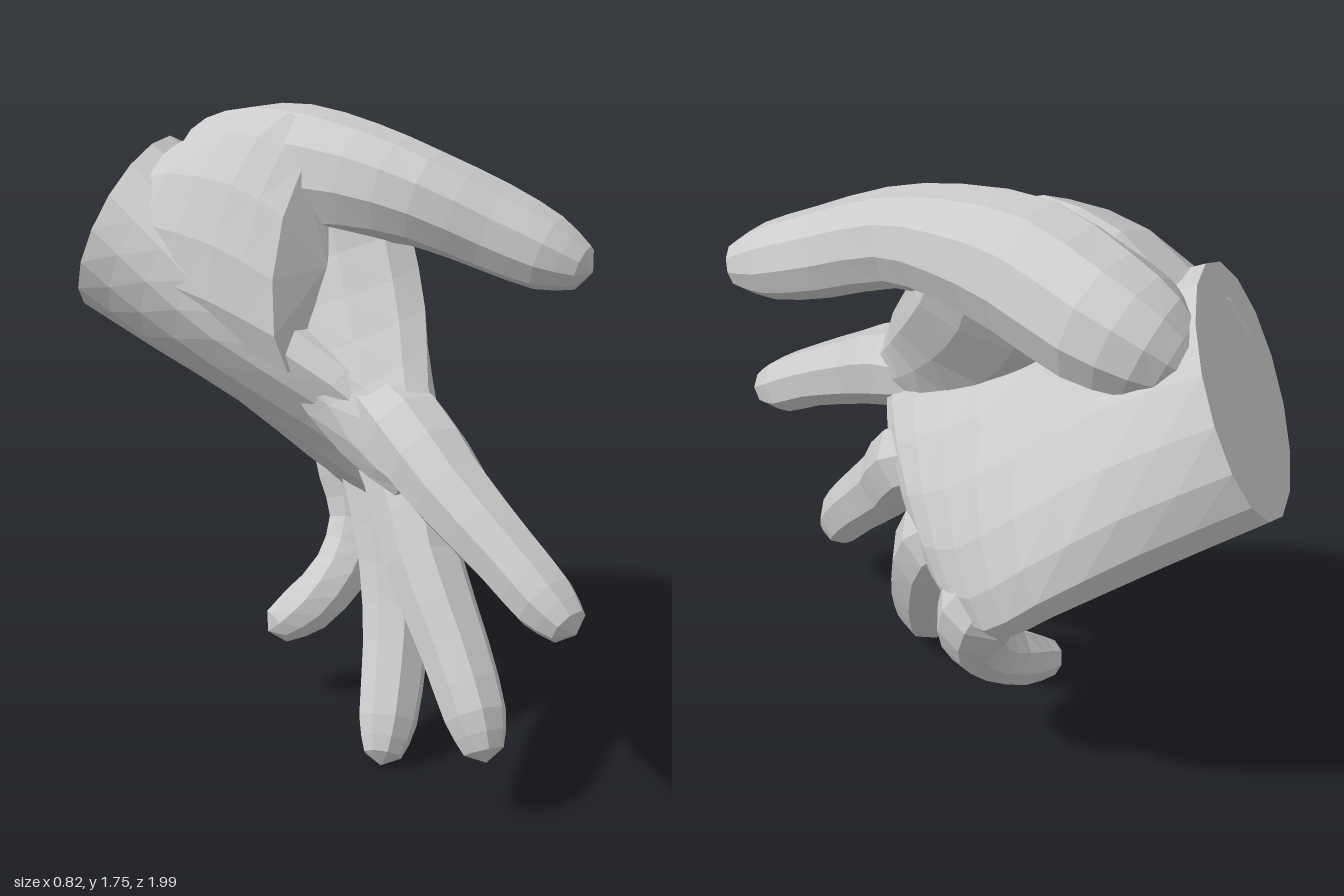
import * as THREE from 'three';

const V = (p) => new THREE.Vector3(...p);
const material = new THREE.MeshStandardMaterial({ color: 0xcccccc, flatShading: true });

// Skin a row of elliptical rings {c: centre, a, n: half axes}, closed at both ends.
// endBulge pushes the last centre outward to round the end.
function loft(name, keys, sides, steps, endBulge = 0) {
  const curve = (k) => new THREE.CatmullRomCurve3(keys.map((r) => r[k]), false, 'catmullrom', 0.5);
  const [cc, ca, cn] = [curve('c'), curve('a'), curve('n')];
  const count = (keys.length - 1) * steps;
  const pos = [], idx = [], rings = [];
  for (let i = 0; i <= count; i++) {
    const t = i / count;
    const ring = { c: cc.getPoint(t), a: ca.getPoint(t), n: cn.getPoint(t) };
    rings.push(ring);
    for (let j = 0; j < sides; j++) {
      const w = ((j + 0.5) / sides) * Math.PI * 2;
      const p = ring.c.clone().addScaledVector(ring.a, Math.cos(w)).addScaledVector(ring.n, Math.sin(w));
      pos.push(p.x, p.y, p.z);
    }
  }
  const dir = (i, k) => rings[k].c.clone().sub(rings[i].c).normalize();
  const first = rings[0].c;
  const last = rings[count].c.clone().addScaledVector(dir(count - 1, count), endBulge);
  const s = pos.length / 3, e = s + 1;
  pos.push(first.x, first.y, first.z, last.x, last.y, last.z);
  const forward = rings[1].a.clone().cross(rings[1].n).dot(dir(0, 1)) > 0;
  const tri = (a, b, c) => (forward ? idx.push(a, b, c) : idx.push(a, c, b));
  for (let j = 0; j < sides; j++) {
    const k = (j + 1) % sides;
    for (let i = 0; i < count; i++) {
      const p = i * sides, q = p + sides;
      tri(p + j, p + k, q + k);
      tri(p + j, q + k, q + j);
    }
    tri(s, k, j);
    tri(e, count * sides + j, count * sides + k);
  }
  const g = new THREE.BufferGeometry();
  g.setAttribute('position', new THREE.Float32BufferAttribute(pos, 3));
  g.setIndex(idx);
  g.computeVertexNormals();
  const mesh = new THREE.Mesh(g, material);
  mesh.name = name;
  return mesh;
}

// Round limb through points [x, y, z, radius]
function limb(name, path, sides = 8) {
  const pts = path.map((p) => V(p.slice(0, 3)));
  const keys = pts.map((c, i) => {
    const t = pts[Math.min(i + 1, pts.length - 1)].clone().sub(pts[Math.max(i - 1, 0)]).normalize();
    const a = t.clone().cross(V([1, 0, 0])).normalize();
    const n = t.clone().cross(a);
    const r = path[i][3] * 1.07;
    return { c, a: a.multiplyScalar(r), n: n.multiplyScalar(r) };
  });
  return loft(name, keys, sides, 2, 0.03);
}

const ringsOf = (rows) => rows.map(([c, a, n]) => ({ c: V(c), a: V(a), n: V(n) }));

export function createModel() {
  const hand = new THREE.Group();
  hand.name = 'hand';

  // Wrist stump (flat slanted cut) widening to the knuckle row: centre, across, thickness
  hand.add(loft('palmAndWrist', ringsOf([
    [[-0.155, 1.36, -0.78], [-0.19, 0.19, 0.215], [0.18, 0.2, 0.02]],
    [[-0.045, 1.225, -0.58], [-0.27, 0.2, 0.22], [0.175, 0.19, 0.04]],
    [[0.045, 1.05, -0.36], [-0.32, 0.22, 0.22], [0.135, 0.145, 0.05]],
    [[0.1, 0.88, -0.11], [-0.27, 0.23, 0.29], [0.1, 0.105, 0.05]],
    [[0.115, 0.78, 0.07], [-0.2, 0.18, 0.3], [0.075, 0.075, 0.04]],
    [[0.1, 0.73, 0.14], [-0.15, 0.14, 0.24], [0.05, 0.05, 0.03]],
  ]), 16, 2, 0.03));

  // Broad back of the thumb base, sloping from the thumb crest to the back of the hand
  hand.add(loft('thumbBase', ringsOf([
    [[-0.14, 1.39, -0.65], [0.08, 0.17, 0.06], [0.16, -0.08, 0]],
    [[-0.15, 1.44, -0.45], [0.12, 0.265, 0.03], [0.165, -0.07, 0]],
    [[-0.12, 1.44, -0.2], [0.13, 0.305, 0], [0.15, -0.06, 0]],
    [[-0.08, 1.38, -0.02], [0.12, 0.3, -0.06], [0.14, -0.05, 0]],
  ]), 12, 2, 0.04));

  // Skin between the thumb and the index knuckle
  hand.add(loft('thumbWeb', ringsOf([
    [[0.07, 1.58, -0.18], [0.05, 0.05, 0.19], [0.15, 0, 0]],
    [[0.02, 1.37, -0.09], [0.09, 0.08, 0.2], [0.15, 0.02, 0]],
    [[-0.03, 1.17, 0.06], [0.07, 0.09, 0.19], [0.15, 0.04, 0]],
    [[-0.06, 0.99, 0.25], [0, 0.1, 0.13], [0.12, 0.05, 0]],
    [[-0.09, 0.89, 0.42], [0, 0.07, 0.06], [0.07, 0.03, 0]],
  ]), 10, 2));

  // Thumb with its fleshy base
  hand.add(limb('thumb', [
    [-0.02, 1.45, -0.7, 0.08], [0.02, 1.5, -0.62, 0.14], [0.045, 1.535, -0.48, 0.175],
    [0.035, 1.57, -0.23, 0.18], [0.08, 1.575, 0, 0.15], [0.14, 1.55, 0.18, 0.125],
    [0.24, 1.485, 0.34, 0.115], [0.305, 1.43, 0.48, 0.098], [0.345, 1.4, 0.57, 0.058],
  ], 10));

  // Four fingers, from inside the palm to the tip
  const fingers = {
    indexFinger: [
      [-0.03, 1.08, 0.06, 0.07], [-0.075, 0.98, 0.35, 0.114], [-0.1, 0.87, 0.55, 0.102],
      [-0.095, 0.75, 0.76, 0.086], [-0.085, 0.665, 0.89, 0.08], [-0.08, 0.62, 0.97, 0.052],
    ],
    middleFinger: [
      [0.08, 0.96, -0.05, 0.07], [0.05, 0.79, 0.2, 0.11], [-0.02, 0.6, 0.36, 0.102],
      [-0.065, 0.41, 0.54, 0.09], [-0.1, 0.27, 0.66, 0.08], [-0.115, 0.19, 0.71, 0.052],
    ],
    ringFinger: [
      [0.16, 0.87, -0.2, 0.07], [0.17, 0.69, -0.02, 0.112], [0.11, 0.47, 0.1, 0.1],
      [0.03, 0.28, 0.19, 0.088], [-0.07, 0.11, 0.275, 0.078], [-0.12, 0.033, 0.31, 0.05],
    ],
    littleFinger: [
      [0.24, 0.82, -0.36, 0.07], [0.275, 0.64, -0.27, 0.11], [0.245, 0.49, -0.215, 0.09],
      [0.15, 0.36, -0.195, 0.082], [0.03, 0.27, -0.21, 0.076], [-0.06, 0.228, -0.235, 0.05],
    ],
  };
  for (const [name, path] of Object.entries(fingers)) hand.add(limb(name, path));

  return hand;
}
